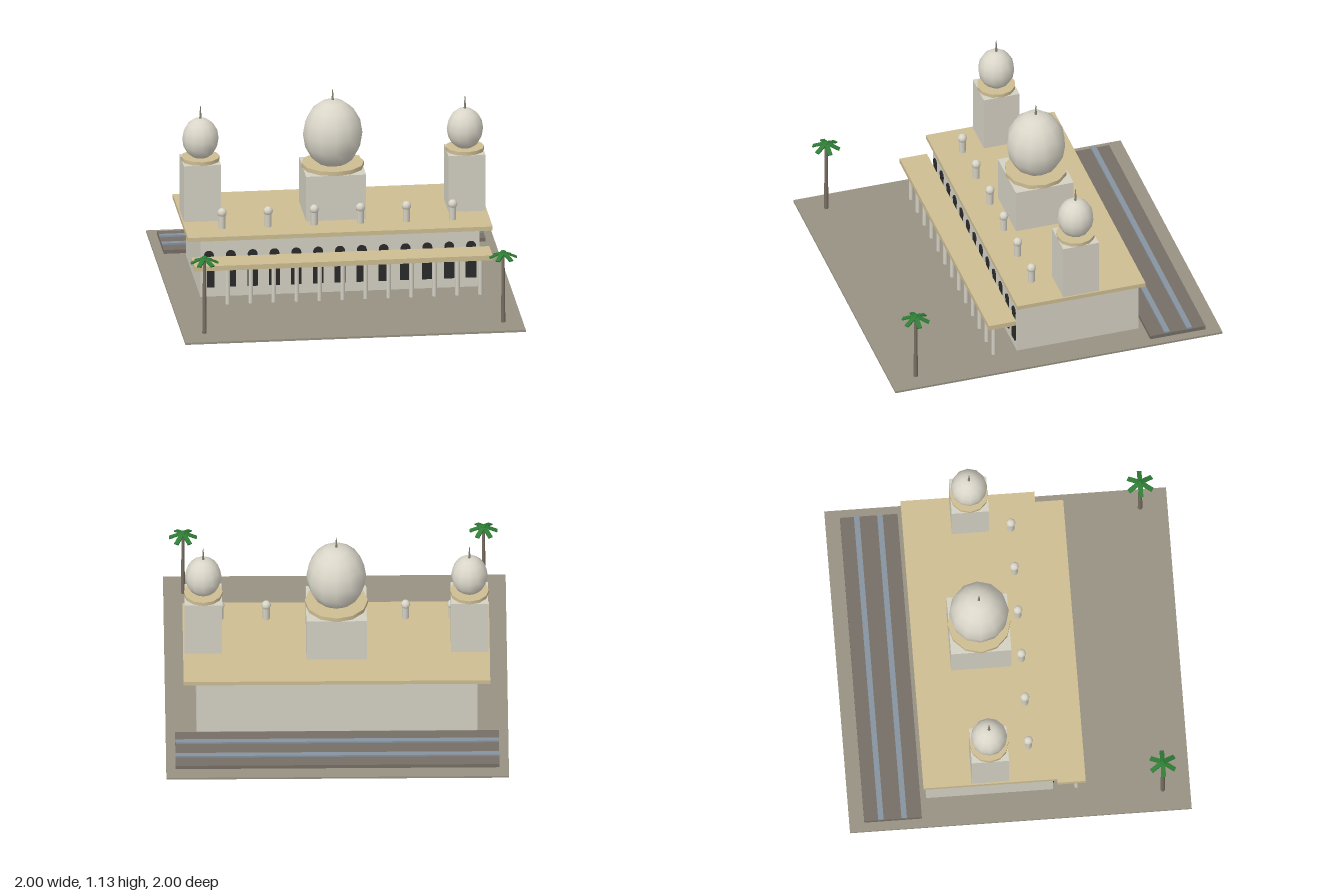
import * as THREE from 'three';

const mat = (name, color) => {
  const m = new THREE.MeshStandardMaterial({ color });
  m.name = name;
  return m;
};

export function createModel() {
  const root = new THREE.Group();
  root.name = 'domedBuilding';
  const wall = mat('pale stone', 0xd4d0c3);
  const dome = mat('dome white', 0xdad6c9);
  const trim = mat('sand trim', 0xcdbd93);
  const paving = mat('paving', 0x979282);
  const dark = mat('dark opening', 0x2a2a2a);
  const deck = mat('track bed', 0x766e66);
  const rail = mat('blue grey strip', 0x8793a0);
  const bark = mat('bark', 0x7a7063);
  const leaf = mat('palm green', 0x2f7d36);
  const metal = mat('finial metal', 0x8c8778);

  const add = (name, geo, material, x, y, z, parent = root) => {
    const m = new THREE.Mesh(geo, material);
    m.name = name;
    m.position.set(x, y, z);
    parent.add(m);
    return m;
  };
  // Box given by its bottom and top heights
  const box = (name, material, w, y0, y1, d, x, z) =>
    add(name, new THREE.BoxGeometry(w, y1 - y0, d), material, x, (y0 + y1) / 2, z);
  // Upright cylinder given by its bottom and top heights
  const post = (name, material, rTop, rBottom, y0, y1, x, z, sides) =>
    add(name, new THREE.CylinderGeometry(rTop, rBottom, y1 - y0, sides), material, x, (y0 + y1) / 2, z);

  const midZ = -0.17;
  const floor = 0.012;

  // Ground, hall and roof slab
  box('ground', paving, 2, 0, floor, 2, 0, 0);
  box('hall', wall, 1.64, floor, 0.36, 0.743, 0, midZ);
  box('roof', trim, 1.79, 0.36, 0.385, 0.784, 0, midZ);

  // Front canopy and its columns
  box('canopy', trim, 1.75, 0.235, 0.265, 0.166, 0, 0.306);
  for (let i = 0; i < 13; i++) {
    post('canopyColumn', wall, 0.014, 0.014, floor, 0.235, -0.81 + i * 0.135, 0.34, 8);
  }

  // Keyhole arches along the front wall
  const arch = new THREE.Shape();
  arch.moveTo(-0.031, 0.07);
  arch.lineTo(0.031, 0.07);
  arch.lineTo(0.031, 0.2);
  arch.lineTo(0.022, 0.212);
  arch.lineTo(0.022, 0.245);
  arch.absarc(0, 0.266, 0.029, -0.7, Math.PI + 0.7, false);
  arch.lineTo(-0.022, 0.212);
  arch.lineTo(-0.031, 0.2);
  arch.closePath();
  const archGeo = new THREE.ExtrudeGeometry(arch, { depth: 0.008, bevelEnabled: false, curveSegments: 8 });
  for (let i = -6; i <= 6; i++) add('archOpening', archGeo, dark, i * 0.1283, 0, 0.201);

  // Square towers with ring, tall dome and spike
  const tower = (name, x, side, wallTop, ringTop, ringR, r, ry, cy, spikeTop) => {
    box(name + 'Base', wall, side, 0.385, wallTop, side, x, midZ);
    post(name + 'Ring', trim, ringR, ringR, wallTop, ringTop, x, midZ, 12);
    const d = new THREE.SphereGeometry(r, 12, 8);
    d.scale(1, ry / r, 1);
    add(name + 'Dome', d, dome, x, cy, midZ);
    post(name + 'Spike', metal, 0.002, 0.009, cy + ry - 0.015, spikeTop, x, midZ, 6);
  };
  tower('central', 0, 0.353, 0.66, 0.685, 0.184, 0.175, 0.208, 0.862, 1.134);
  for (const s of [-1, 1]) tower('side', s * 0.777, 0.218, 0.73, 0.752, 0.113, 0.107, 0.125, 0.862, 1.06);

  // Small domed posts on the roof
  for (let i = 0; i < 6; i++) {
    const x = -0.6775 + i * 0.271;
    post('roofPost', wall, 0.021, 0.021, 0.385, 0.48, x, 0.068, 8);
    add('roofPostDome', new THREE.SphereGeometry(0.028, 8, 6), dome, x, 0.48, 0.068);
  }

  // Low bed behind the hall with two raised strips
  box('trackBed', deck, 1.89, floor, 0.035, 0.337, 0, -0.744);
  for (const z of [-0.815, -0.679]) box('trackStrip', rail, 1.89, 0.035, 0.046, 0.032, 0, z);

  // Palms: trunk, drooping fronds and crown
  const frondGeo = new THREE.BoxGeometry(0.085, 0.008, 0.027);
  frondGeo.translate(0.0445, 0, 0);
  const palm = (x, z, top) => {
    const p = new THREE.Group();
    p.name = 'palm';
    p.position.set(x, 0, z);
    root.add(p);
    const h = top - 0.015 - floor;
    add('trunk', new THREE.CylinderGeometry(0.009, 0.014, h, 6), bark, 0, floor + h / 2, 0, p);
    add('crown', new THREE.SphereGeometry(0.02, 6, 4), leaf, 0, top - 0.02, 0, p);
    for (let i = 0; i < 6; i++) {
      const f = add('frond', frondGeo, leaf, 0, top - 0.012, 0, p);
      f.rotation.set(0, (i * Math.PI) / 3, -0.4);
    }
  };
  palm(-0.87, 0.84, 0.492);
  palm(0.885, 0.84, 0.456);

  return root;
}
